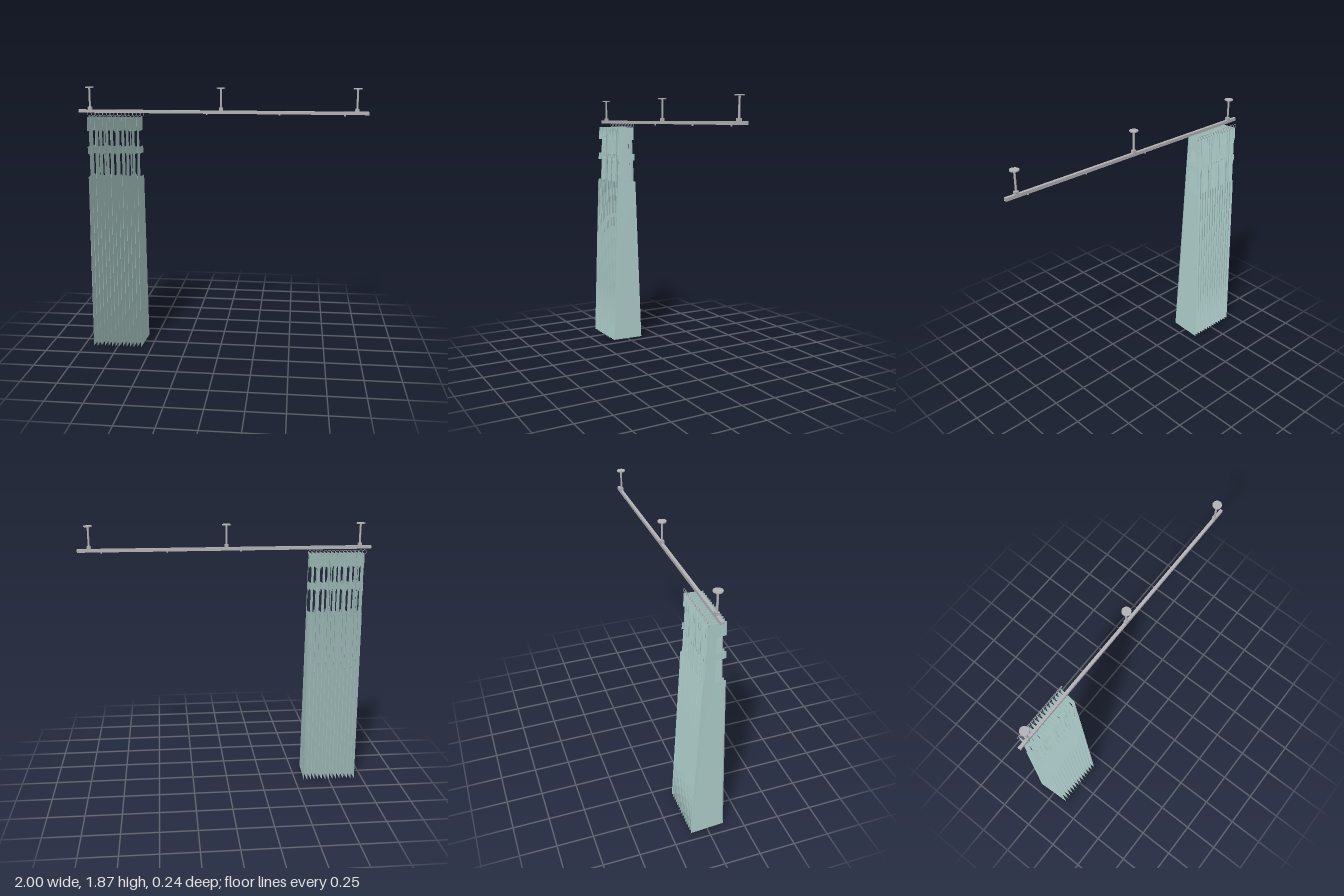
import * as THREE from 'three';

const steel = new THREE.MeshStandardMaterial({ color: 0xb4b4b8 });
steel.name = 'brushed steel';
const cloth = new THREE.MeshStandardMaterial({ color: 0xb0d0cd, side: THREE.DoubleSide });
cloth.name = 'pale teal cloth';

const FOLDS = 14, COLS = 12;            // pleats, columns per panel
const X0 = -0.942, X1 = -0.564;         // gathered extent of the curtain
const TOP = 1.665;

function add(parent, name, geometry, x, y, z, material = steel) {
  const mesh = new THREE.Mesh(geometry, material);
  mesh.name = name;
  mesh.position.set(x, y, z);
  parent.add(mesh);
  return mesh;
}

// Pleated sheet, wider at the hem, with rows of openings near the top
function curtainGeometry() {
  const rows = [0, 0.03, 0.4, 0.8, 1.25, 1.41, 1.46, 1.57, TOP];
  const openRows = [4, 6];
  const n = FOLDS * 2 * COLS;
  const positions = [], index = [];
  for (const y of rows) {
    const depth = THREE.MathUtils.lerp(0.121, 0.06, y / TOP);
    for (let i = 0; i <= n; i++) {
      const wave = Math.asin(0.985 * Math.cos((i / COLS) * Math.PI)) / Math.asin(0.985);
      positions.push(THREE.MathUtils.lerp(X0, X1, i / n), y, -depth * wave);
    }
  }
  for (let r = 0; r < rows.length - 1; r++) {
    for (let i = 0; i < n; i++) {
      const opening = (n - i) % 14 < 9;
      if (openRows.includes(r) && opening) continue;
      const a = r * (n + 1) + i, b = a + n + 1;
      index.push(a, a + 1, b + 1, a, b + 1, b);
    }
  }
  const g = new THREE.BufferGeometry();
  g.setAttribute('position', new THREE.Float32BufferAttribute(positions, 3));
  g.setIndex(index);
  g.computeVertexNormals();
  return g;
}

export function createModel() {
  const model = new THREE.Group();
  model.name = 'ceilingCurtain';

  // Track: a channel open along its underside
  const s = new THREE.Shape();
  [[-0.01, 1.693], [-0.004, 1.693], [-0.004, 1.697], [-0.007, 1.697], [-0.007, 1.712], [0.007, 1.712],
    [0.007, 1.697], [0.004, 1.697], [0.004, 1.693], [0.01, 1.693], [0.01, 1.715], [-0.01, 1.715]]
    .forEach(([x, y], i) => (i ? s.lineTo(x, y) : s.moveTo(x, y)));
  const trackGeo = new THREE.ExtrudeGeometry(s, { depth: 2, bevelEnabled: false });
  trackGeo.translate(0, 0, -1).rotateY(Math.PI / 2);
  add(model, 'track', trackGeo, 0, 0, 0);

  // Ceiling mounts
  for (const x of [-0.92, 0, 0.92]) {
    const mount = new THREE.Group();
    mount.name = 'ceilingMount';
    mount.position.x = x;
    add(mount, 'ceilingPlate', new THREE.CylinderGeometry(0.03, 0.03, 0.007, 32), 0, 1.8665, 0);
    add(mount, 'rod', new THREE.CylinderGeometry(0.007, 0.007, 0.135, 16), 0, 1.797, 0);
    add(mount, 'trackClamp', new THREE.BoxGeometry(0.026, 0.02, 0.024), 0, 1.724, 0);
    model.add(mount);
  }

  // Runners under the track
  for (const x of [-0.1, 0.4, 0.84]) {
    add(model, 'runner', new THREE.CylinderGeometry(0.006, 0.006, 0.01, 12), x, 1.689, 0);
  }

  // Curtain and the ring at each rear fold
  add(model, 'curtain', curtainGeometry(), 0, 0, 0, cloth);
  const ringGeo = new THREE.TorusGeometry(0.013, 0.0018, 8, 24);
  for (let i = 0; i <= FOLDS; i++) {
    add(model, 'curtainRing', ringGeo, THREE.MathUtils.lerp(X0, X1, i / FOLDS), 1.679, -0.055);
  }
  return model;
}
